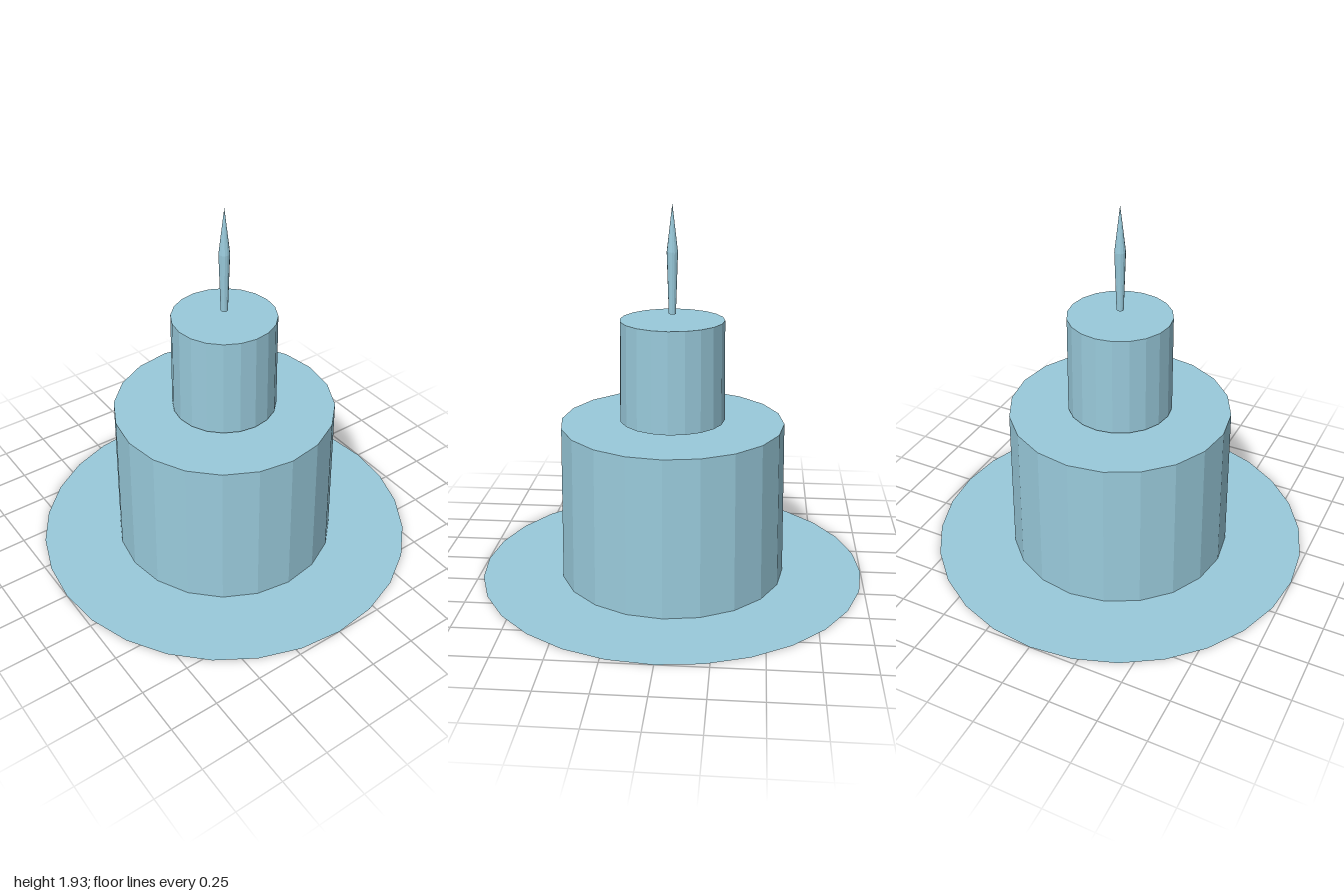
import * as THREE from 'three';

export function createModel() {
  const group = new THREE.Group();
  const paleBlue = new THREE.MeshStandardMaterial({ color: 0x99cadb, flatShading: true, side: THREE.DoubleSide });
  paleBlue.name = 'paleBlue';

  const add = (name, geometry, y) => {
    const mesh = new THREE.Mesh(geometry, paleBlue);
    mesh.name = name;
    mesh.position.y = y;
    group.add(mesh);
  };

  // Closed, slightly tapered drum standing between two heights
  const addTier = (name, rTop, rBottom, y0, y1) =>
    add(name, new THREE.CylinderGeometry(rTop, rBottom, y1 - y0, 20), (y0 + y1) / 2);

  // Paper-thin round base
  add('baseDisc', new THREE.CircleGeometry(1, 28).rotateX(-Math.PI / 2), 0);

  // Two tiers with a narrow gap between them
  addTier('lowerTier', 0.575, 0.587, 0, 0.815);
  addTier('upperTier', 0.265, 0.27, 0.83, 1.35);

  // Slim spire floating above, swelling before its point
  const profile = [[0, 0], [0.018, 0], [0.028, 0.31], [0, 0.547]].map(([r, y]) => new THREE.Vector2(r, y));
  add('spire', new THREE.LatheGeometry(profile, 12), 1.38);

  return group;
}
